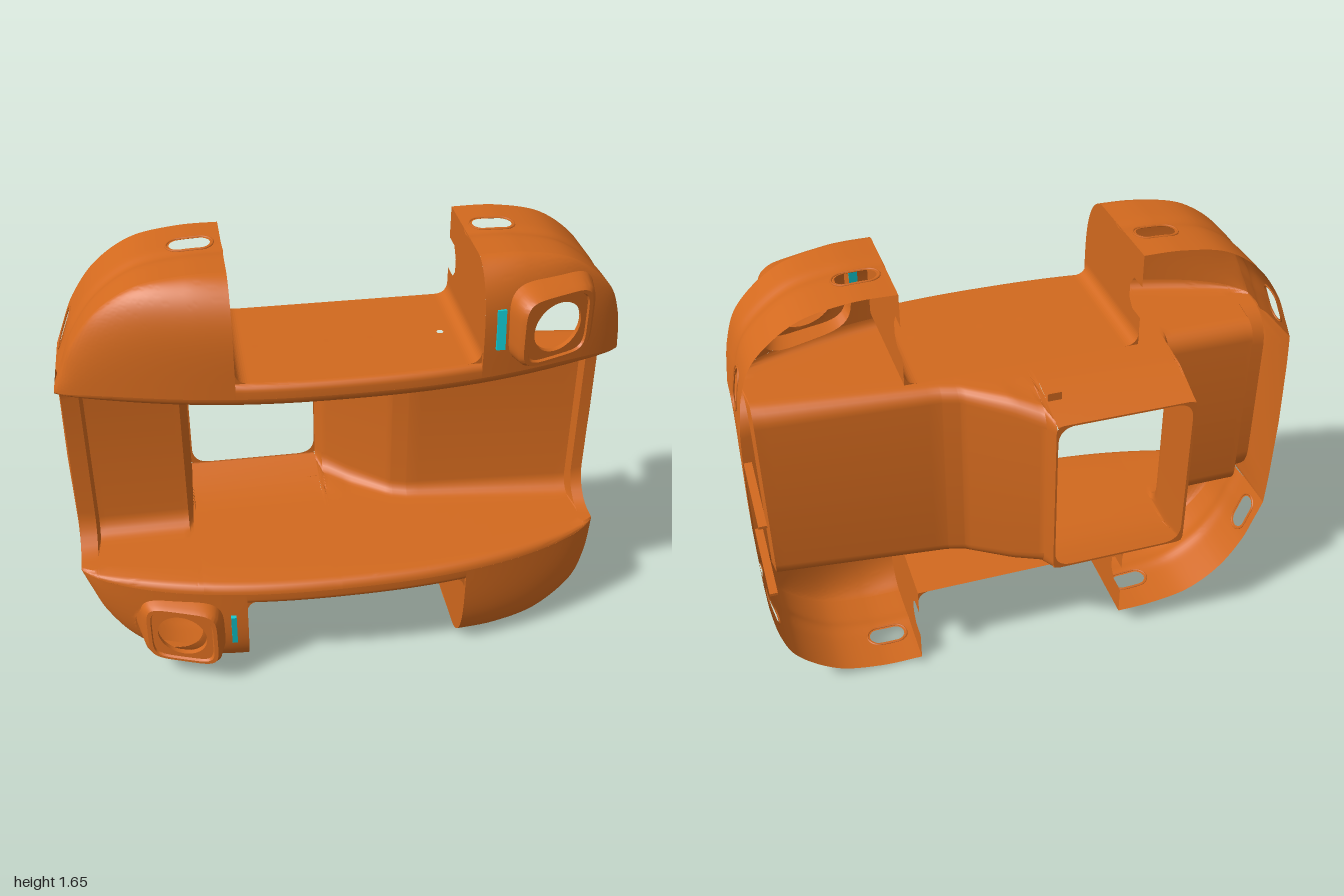
import * as THREE from 'three';
import { toCreasedNormals } from 'three/addons/utils/BufferGeometryUtils.js';

const paint = new THREE.MeshStandardMaterial({ color: 0xd2691e, side: THREE.DoubleSide });
const cyan = new THREE.MeshStandardMaterial({ color: 0x10c8d0 });
const H = 1.64, BACK = -0.2, LIP = 1.21, SHELF = 1.295, END = 0.988;
const lerp = THREE.MathUtils.lerp;

// Crown of the domed front, rounding of its lip, and the slope of the channel walls
const crown = (x) => 0.355 - 0.2 * Math.pow(Math.abs(x), 2.4) - 0.025 * Math.pow(Math.abs(x) / END, 30);
const lipRadius = (x) => 0.035 * (1 - Math.pow(Math.abs(x) / END, 8));
const channelY = (z) => (z > -0.2 ? 1.19 + 0.02 * Math.min(1, (z + 0.2) / 0.5) : 1.19 + (z + 0.2) * 0.28);

function add(parent, name, geometry, material = paint) {
  const mesh = new THREE.Mesh(geometry, material);
  mesh.name = name;
  parent.add(mesh);
  return mesh;
}

// Sheet from fn(i, j); cells where inside(i, j) holds at all four corners are left open
function sheet(nu, nv, fn, inside = () => false) {
  const pos = [], index = [];
  for (let i = 0; i <= nu; i++) for (let j = 0; j <= nv; j++) pos.push(...fn(i, j));
  for (let i = 0; i < nu; i++) for (let j = 0; j < nv; j++) {
    if (inside(i, j) && inside(i + 1, j) && inside(i, j + 1) && inside(i + 1, j + 1)) continue;
    const a = i * (nv + 1) + j, b = a + nv + 1;
    index.push(a, b, a + 1, b, b + 1, a + 1);
  }
  const g = new THREE.BufferGeometry();
  g.setAttribute('position', new THREE.Float32BufferAttribute(pos, 3));
  g.setIndex(index);
  return toCreasedNormals(g, 0.55);
}

// Pushes a point out of a rounded slot, so that the sheet ends cleanly on its edge
function snap(p, holes) {
  for (const h of holes) {
    const da = p[0] - h.a, dx = da - THREE.MathUtils.clamp(da, -h.half, h.half), dy = p[1] - h.b;
    const d = Math.hypot(dx, dy);
    if (d < h.r) {
      const k = d > 1e-6 ? h.r / d : 0;
      return { p: [p[0] - dx + dx * k, k ? h.b + dy * k : h.b + h.r], hit: true };
    }
  }
  return { p, hit: false };
}

const outlines = {
  1: [[0.44, 1.638], [0.6, 1.635], [0.77, 1.595], [0.91, 1.485], [0.965, 1.36], [END, LIP]],
  '-1': [[0.39, 1.638], [0.53, 1.635], [0.69, 1.605], [0.82, 1.52], [0.91, 1.4], [0.957, 1.29], [END, LIP]],
};
const bulge = (s) => Math.pow(1 - Math.pow(1 - s, 4), 0.6);

// One corner pod: outer wall with two slots, domed front, notch side wall
function pod(side, top, lamp) {
  const g = new THREE.Group();
  g.name = (top ? 'upper' : 'lower') + (side > 0 ? 'Left' : 'Right') + 'Pod';
  const Y = (y) => (top ? y : H - y);
  const curve = new THREE.SplineCurve(outlines[side].map((p) => new THREE.Vector2(...p)));
  const len = curve.getLength(), inner = outlines[side][0][0], n = 80;
  const shoulder = (t) => 0.19 - (0.19 - crown(END)) * t * t;
  const wallAt = (a, z) => {
    const p = curve.getPointAt(THREE.MathUtils.clamp(a / len, 0, 1));
    const dent = 1 - 0.008 * Math.exp(-Math.pow((z - 0.02) / 0.03, 2));
    return [side * p.x * dent, Y(H / 2 + (p.y - H / 2) * dent), z];
  };
  const slots = [{ a: 0.105, b: -0.045, half: 0.035, r: 0.035 },
    { a: len - 0.11, b: side > 0 ? -0.08 : -0.12, half: 0.035, r: 0.035 }];
  const rows = 30;
  const wallUV = (i, j) => snap([(i / n) * len, lerp(BACK, shoulder(i / n), j / rows)], slots);
  add(g, 'outerWall', sheet(n, rows, (i, j) => wallAt(...wallUV(i, j).p), (i, j) => wallUV(i, j).hit));
  for (const s of slots) {
    const ring = [];
    for (let k = 0; k < 32; k++) {
      const q = (k / 32) * Math.PI * 2, c = Math.cos(q);
      ring.push(new THREE.Vector3(...wallAt(s.a + Math.sign(c) * s.half + c * 0.044, s.b + Math.sin(q) * 0.044)));
    }
    add(g, 'slotRim', new THREE.TubeGeometry(new THREE.CatmullRomCurve3(ring, true), 64, 0.004, 6, true));
  }

  const hole = lamp ? [{ a: 0.685, b: 1.42, half: 0, r: 0.125 }] : [];
  const skin = (i, j) => {
    const t = i / n, s = Math.pow(j / 36, 1.5), o = curve.getPointAt(t), qx = lerp(inner, END, t);
    const x = lerp(o.x, qx, s), y = lerp(o.y, LIP + lipRadius(qx), s);
    const z = lerp(shoulder(t), crown(x), bulge(s));
    return { ...snap([x, y], hole), z };
  };
  add(g, 'domedFront', sheet(n, 36, (i, j) => {
    const k = skin(i, j);
    return [side * k.p[0], Y(k.p[1]), k.z];
  }, (i, j) => skin(i, j).hit));

  // Notch side wall with a hook-shaped cut in its back edge
  const pts = [[BACK, SHELF], [BACK, 1.4], [-0.13, 1.4], [-0.1, 1.43], [-0.1, 1.48], [-0.13, 1.52], [BACK, 1.52], [BACK, 1.638]];
  const base = LIP + lipRadius(inner);
  for (let k = 0; k <= 24; k++) {
    const s = Math.pow(k / 24, 1.5) * (H - SHELF + 0.025) / (H - base);
    pts.push([lerp(0.19, crown(inner), bulge(s)), lerp(1.638, base, s)]);
  }
  const wall = new THREE.ShapeGeometry(new THREE.Shape(pts.map((p) => new THREE.Vector2(...p))));
  const a = wall.attributes.position;
  for (let k = 0; k < a.count; k++) a.setXYZ(k, side * inner, Y(a.getY(k)), a.getX(k));
  wall.computeVertexNormals();
  add(g, 'notchWall', wall);

  // Rounded corner between notch wall and shelf
  const r = 0.05, corner = new THREE.Shape();
  corner.moveTo(0, 0).lineTo(r, 0).quadraticCurveTo(0, 0, 0, r).lineTo(0, 0);
  const fillet = add(g, 'notchCorner', new THREE.ExtrudeGeometry(corner, { depth: crown(inner) - BACK - 0.015, bevelEnabled: false }));
  fillet.position.set(side * inner, Y(SHELF), BACK);
  fillet.scale.set(-side, top ? 1 : -1, 1);
  return g;
}

// Lamp housing: flared rounded-square skirt, tilted face with a round hole; built for the upper left pod
function lampHousing() {
  const face = (x) => 0.375 - 0.36 * (x - 0.58);
  const loops = [[0.172, 0.15, 4, -0.13], [0.158, 0.139, 4, -0.07], [0.144, 0.131, 4.5, -0.02], [0.128, 0.122, 5, 0],
    [0.114, 0.112, 5, 0], [0.11, 0.108, 5, -0.01], [0.09, 0.09, 2, -0.01], [0.09, 0.09, 2, -0.03]];
  return sheet(64, loops.length - 1, (i, j) => {
    const [w, h, p, dz] = loops[j], q = (i / 64) * Math.PI * 2;
    const c = Math.cos(q), s = Math.sin(q);
    const x = 0.688 + w * Math.sign(c) * Math.pow(Math.abs(c), 2 / p);
    return [x, 1.42 + h * Math.sign(s) * Math.pow(Math.abs(s), 2 / p), face(x) + dz];
  });
}

// Channel columns: x, floor z and fillet radius, subdivided between keys
function columns(keys) {
  const out = [keys[0]];
  for (let k = 1; k < keys.length; k++)
    for (let m = 1; m <= 14; m++) out.push(keys[k].map((v, c) => lerp(keys[k - 1][c], v, m / 14)));
  return out;
}
function halfColumn([x, f, r]) {
  const pts = [], e = lipRadius(x), z0 = crown(x) - e;
  for (let k = 0; k < 5; k++) {
    const q = (k / 5) * Math.PI / 2;
    pts.push([x, LIP + e * (1 - Math.sin(q)), z0 + e * Math.cos(q)]);
  }
  for (let k = 0; k <= 8; k++) {
    const z = lerp(z0, f + r, k / 8);
    pts.push([x, k ? channelY(z) : LIP, z]);
  }
  for (let k = 1; k <= 6; k++) {
    const q = (k / 6) * Math.PI / 2;
    pts.push([x, channelY(f + r) - r * (1 - Math.cos(q)), f + r * (1 - Math.sin(q))]);
  }
  return pts;
}
const flip = ([x, y, z]) => [x, H - y, z];
function fullColumn(c) {
  const h = halfColumn(c);
  return [...h, [c[0], H / 2, c[1]], ...h.map(flip).reverse()];
}
const loft = (cols) => sheet(cols.length - 1, cols[0].length - 1, (i, j) => cols[i][j]);

function roundedRect(P, x0, y0, x1, y1, r) {
  const s = new P();
  s.moveTo(x0 + r, y0).lineTo(x1 - r, y0).quadraticCurveTo(x1, y0, x1, y0 + r).lineTo(x1, y1 - r)
    .quadraticCurveTo(x1, y1, x1 - r, y1).lineTo(x0 + r, y1).quadraticCurveTo(x0, y1, x0, y1 - r)
    .lineTo(x0, y0 + r).quadraticCurveTo(x0, y0, x0 + r, y0);
  return s;
}

export function createModel() {
  const model = new THREE.Group();
  model.name = 'housingShell';

  // Channel floor, walls and the tunnel to the back window
  const right = columns([[-END, -0.03, 0.13], [-0.925, -0.03, 0.12], [-0.915, -0.07, 0.07], [-0.575, -0.07, 0.07],
    [-0.56, -0.1, 0.06], [-0.544, -0.38, 0.04]]).map(fullColumn);
  const left = columns([[-0.037, -0.38, 0.04], [-0.015, -0.33, 0.07], [0.235, -0.15, 0.05], [0.3, -0.13, 0.05],
    [0.935, -0.07, 0.07], [0.945, -0.03, 0.12], [END, -0.03, 0.13]]).map(fullColumn);
  const tunnel = columns([[-0.544, -0.38, 0.005], [-0.037, -0.38, 0.005]]).map(halfColumn);
  add(model, 'rightChannel', loft(right));
  add(model, 'leftChannel', loft(left));
  add(model, 'tunnelTop', loft(tunnel));
  add(model, 'tunnelBottom', loft(tunnel.map((c) => c.map(flip))));
  const frame = roundedRect(THREE.Shape, -0.548, 0.497, -0.033, 1.143, 0.03);
  frame.holes.push(roundedRect(THREE.Path, -0.538, 0.505, -0.04, 1.137, 0.07));
  add(model, 'windowFrame', new THREE.ShapeGeometry(frame)).position.z = -0.38;

  // Outer side walls between the pods
  for (const col of [right[0], left[left.length - 1]]) {
    const back = col.map(([x, y]) => [Math.sign(x) * (1 - 0.012 * Math.pow((y - H / 2) / 0.39, 2)), y, BACK]);
    const front = col.map(([x, y, z], k) => [lerp(x, back[k][0], 0.6), y, z - 0.015]);
    add(model, 'sideWall', loft([back, front, col]));
  }

  for (const top of [true, false]) {
    for (const side of [1, -1]) model.add(pod(side, top, top === side > 0));
    const Y = (y) => (top ? y : H - y);
    // Front lip, rounded over into the notch shelf with its small screw holes
    const round = 0.025;
    add(model, 'frontLip', sheet(24, 6, (i, j) => {
      const x = lerp(-0.39, 0.44, i / 24), q = (Math.max(0, j - 1) / 5) * Math.PI / 2;
      const y = j ? SHELF - round * (1 - Math.sin(q)) : LIP + lipRadius(x);
      return [x, Y(y), crown(x) - round * (1 - Math.cos(q))];
    }));
    const edge = [new THREE.Vector2(0.44, BACK), new THREE.Vector2(-0.39, BACK)];
    for (let i = 0; i <= 24; i++) {
      const x = lerp(-0.39, 0.44, i / 24);
      edge.push(new THREE.Vector2(x, crown(x) - round));
    }
    const shelf = new THREE.Shape(edge);
    for (const x of [-0.3, -0.05, 0.1, 0.35]) shelf.holes.push(new THREE.Path().absarc(x, 0.08, 0.012, 0, Math.PI * 2));
    const s = add(model, 'notchShelf', new THREE.ShapeGeometry(shelf));
    s.rotation.x = Math.PI / 2;
    s.position.y = Y(SHELF);
    // Small tab on the outside of the tunnel
    add(model, 'tunnelTab', new THREE.BoxGeometry(0.05, 0.03, 0.005)).position.set(-0.065, Y(1.187), -0.265);
  }

  // Lamp housings, the second turned half a circle
  const lamp = lampHousing();
  add(model, 'upperLamp', lamp);
  const lower = add(model, 'lowerLamp', lamp);
  lower.rotation.z = Math.PI;
  lower.position.set(0.05, H, 0);

  // Light strips beside the lamps
  for (const [x, y, z, w] of [[0.497, 1.42, 0.31, 0.03], [-0.443, 0.225, 0.317, 0.02]]) {
    const strip = add(model, 'lightStrip', new THREE.BoxGeometry(w, 0.14, 0.03), cyan);
    strip.position.set(x, y, z);
    strip.rotation.x = y > 0.82 ? -0.12 : 0.12;
  }

  // Thin rods reaching back from the left rim
  for (const y of [0.67, 0.97])
    add(model, 'rod', new THREE.BoxGeometry(0.028, 0.01, 0.35)).position.set(0.972, y, -0.21);
  return model;
}
